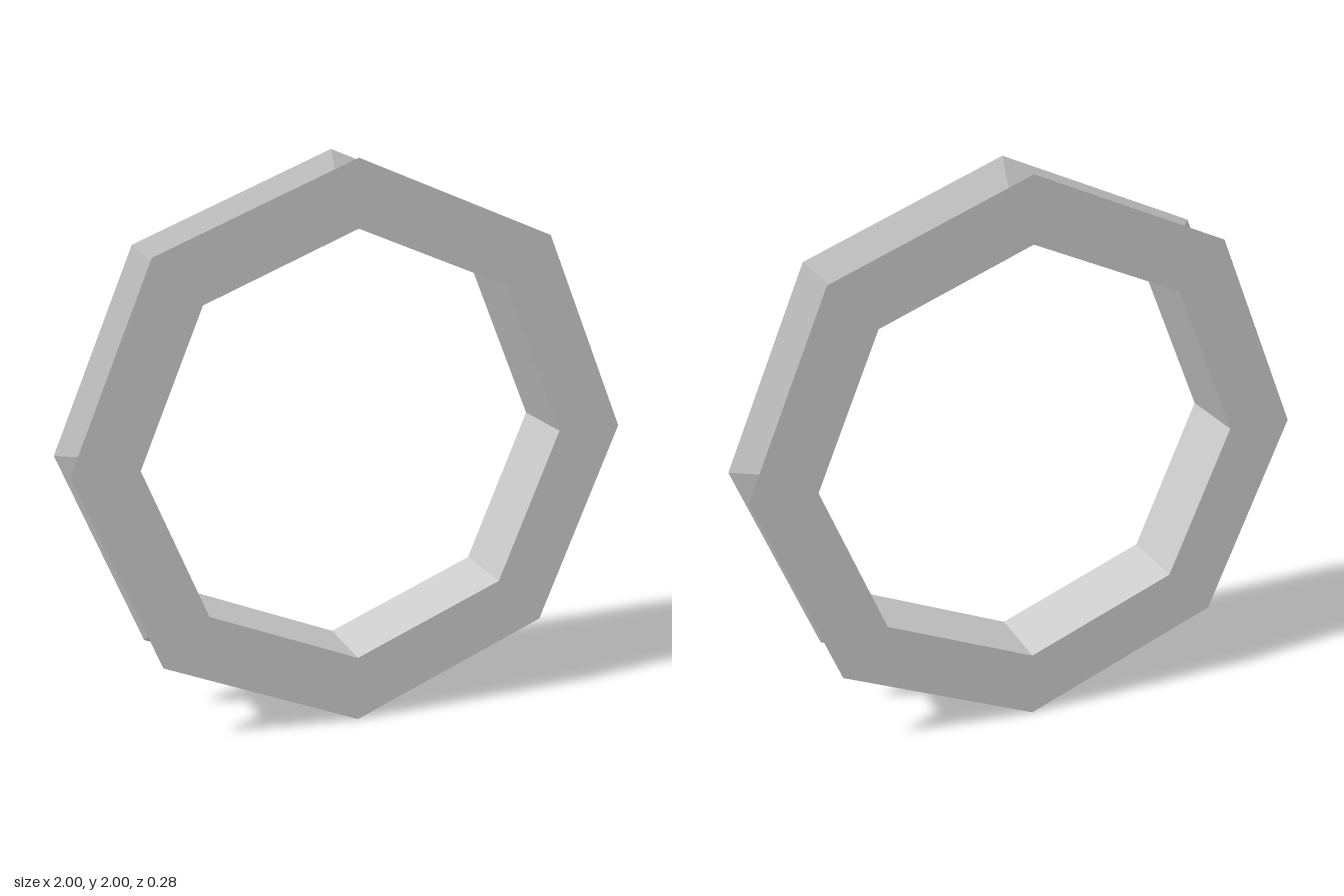
import * as THREE from 'three';

export function createModel() {
  const group = new THREE.Group();
  group.name = 'octagonalRim';

  const outer = 1, groove = 0.885, inner = 0.765; // corner radii
  const half = 0.14, grooveHalf = 0.073; // half widths along the axis

  // Closed rim cross-section: flared lips, sunken groove, flat faces, straight bore
  const profile = [
    [inner, -half],
    [outer, -half],
    [groove, -grooveHalf],
    [groove, grooveHalf],
    [outer, half],
    [inner, half],
    [inner, -half],
  ].map(([r, h]) => new THREE.Vector2(r, h));

  // Eight-sided ring, axis turned to face the front
  const geometry = new THREE.LatheGeometry(profile, 8).rotateX(Math.PI / 2).toNonIndexed();
  geometry.computeVertexNormals();
  const material = new THREE.MeshStandardMaterial({ color: 0xcccccc, flatShading: true });
  const rim = new THREE.Mesh(geometry, material);
  rim.name = 'groovedRim';
  rim.position.y = outer;
  group.add(rim);

  return group;
}
